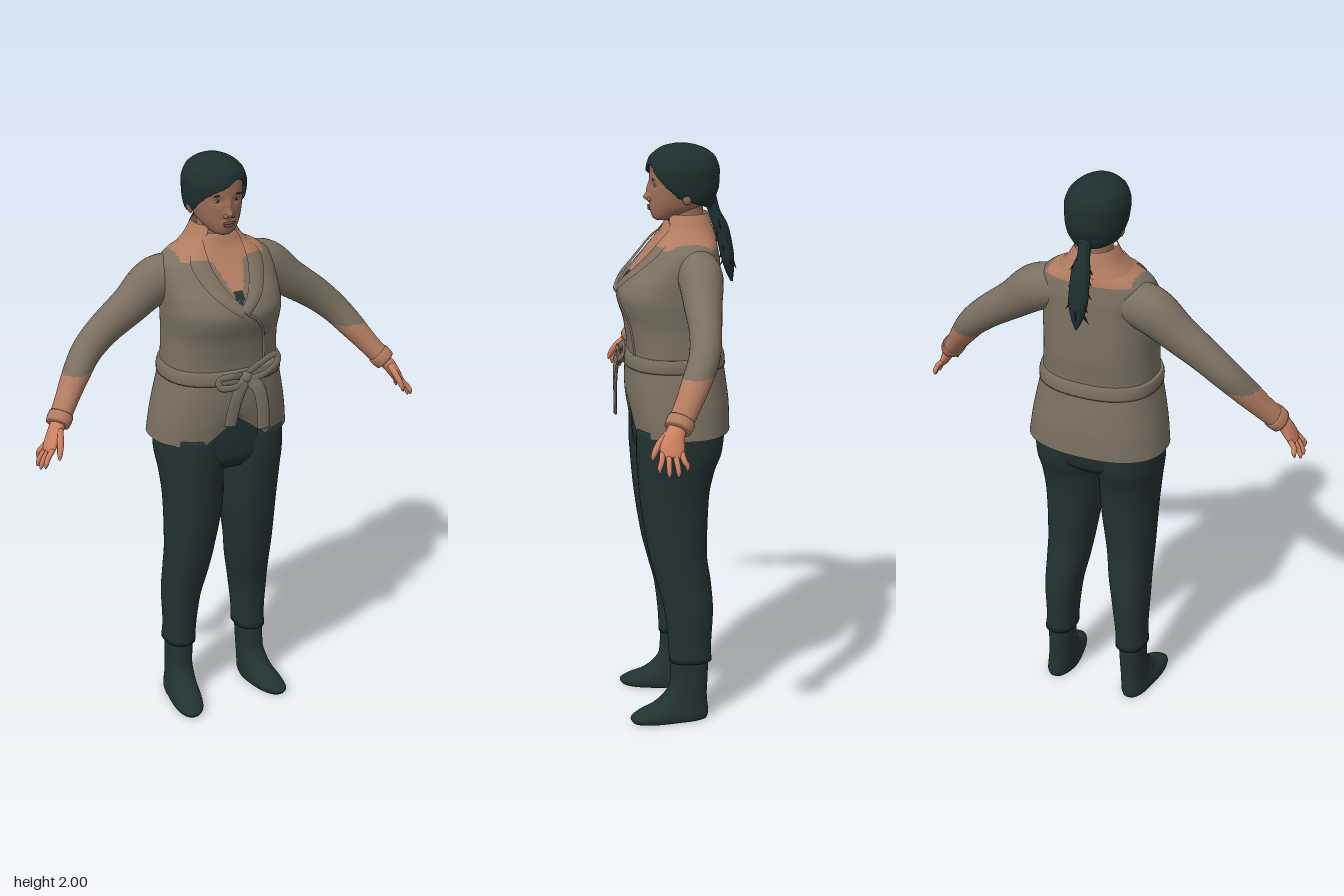
import * as THREE from 'three';

const V3 = (x, y, z) => new THREE.Vector3(x, y, z);
const gauss = (d, w) => Math.exp(-(d * d) / (w * w));

// Smooth, overshoot-free interpolation of rows keyed on their first value
function sample(rows, y) {
  const n = rows.length;
  let k = 0;
  while (k < n - 2 && y > rows[k + 1][0]) k++;
  const a = rows[k], b = rows[k + 1], h = b[0] - a[0];
  const t = Math.min(1, Math.max(0, (y - a[0]) / h));
  const slope = (i, c) => (rows[i + 1][c] - rows[i][c]) / (rows[i + 1][0] - rows[i][0]);
  const tangent = (i, c) => {
    if (i === 0) return slope(0, c);
    if (i === n - 1) return slope(n - 2, c);
    const s = slope(i - 1, c), e = slope(i, c);
    return s * e <= 0 ? 0 : (2 * s * e) / (s + e);
  };
  return a.map((v, c) => c === 0 ? y : v * (2 * t ** 3 - 3 * t * t + 1) + b[c] * (3 * t * t - 2 * t ** 3)
    + h * (tangent(k, c) * (t ** 3 - 2 * t * t + t) + tangent(k + 1, c) * (t ** 3 - t * t)));
}

// Closed skin over a stack of rings
function skin(rings, capped = true) {
  const n = rings[0].length, m = rings.length, idx = [];
  const pts = rings.flat();
  for (let j = 0; j < m - 1; j++) for (let i = 0; i < n; i++) {
    const k = (i + 1) % n, a = j * n + i, b = j * n + k;
    idx.push(a, a + n, b, b, a + n, b + n);
  }
  if (capped) [0, m - 1].forEach((j) => {
    const c = rings[j].reduce((s, p) => s.add(p), V3(0, 0, 0)).divideScalar(n);
    const ci = pts.push(c) - 1;
    for (let i = 0; i < n; i++) {
      const a = j * n + i, b = j * n + (i + 1) % n;
      j ? idx.push(ci, b, a) : idx.push(ci, a, b);
    }
  });
  const geo = new THREE.BufferGeometry().setFromPoints(pts);
  geo.setIndex(idx);
  geo.computeVertexNormals();
  return geo;
}

// Upright loft; each row is [y, centre x, half width, front z, back z]
function loft(rows, { steps = 40, segs = 48, power = 2.3, mod, capped = true, side = 1 } = {}) {
  const rings = [], y0 = rows[0][0], y1 = rows[rows.length - 1][0];
  const bend = (v) => Math.sign(v) * Math.abs(v) ** (2 / power);
  for (let j = 0; j <= steps; j++) {
    const [y, cx, rx, zf, zb] = sample(rows, y0 + (y1 - y0) * j / steps), ring = [];
    for (let i = 0; i < segs; i++) {
      const a = i / segs * Math.PI * 2;
      const p = V3(side * cx + rx * bend(Math.cos(a)), y, (zf + zb) / 2 + (zf - zb) / 2 * bend(Math.sin(a)));
      if (mod) mod(p);
      ring.push(p);
    }
    rings.push(ring);
  }
  return skin(rings, capped);
}

// Front surface depth of a loft at (x, y)
function frontZ(rows, x, y, power) {
  const [, cx, rx, zf, zb] = sample(rows, y);
  const q = Math.min(1, Math.abs((x - cx) / rx));
  return (zf + zb) / 2 + (zf - zb) / 2 * (1 - q ** power) ** (1 / power);
}

// Limb along points [x, y, z, radius across, radius deep]
function limb(points, side = 1, steps = 24, segs = 20) {
  const curve = new THREE.CatmullRomCurve3(points.map((p) => V3(p[0] * side, p[1], p[2])));
  const radii = points.map((p, i) => [i / (points.length - 1), p[3], p[4]]), rings = [];
  for (let j = 0; j <= steps; j++) {
    const t = j / steps, c = curve.getPoint(t), T = curve.getTangent(t);
    const U = T.clone().cross(V3(0, 0, 1)).normalize(), V = U.clone().cross(T);
    const [, r, d] = sample(radii, t);
    rings.push(Array.from({ length: segs }, (_, i) => {
      const a = i / segs * Math.PI * 2;
      return c.clone().addScaledVector(U, r * Math.cos(a)).addScaledVector(V, d * Math.sin(a));
    }));
  }
  return skin(rings);
}

// Sort faces into groups by a colour rule; null removes the face
function paint(geo, mats, rule) {
  const src = geo.index.array, pos = geo.attributes.position, bins = mats.map(() => []), c = V3(0, 0, 0);
  for (let i = 0; i < src.length; i += 3) {
    c.set(0, 0, 0);
    for (let k = 0; k < 3; k++) c.add(V3().fromBufferAttribute(pos, src[i + k]));
    const m = rule(c.divideScalar(3));
    if (m !== null) bins[m].push(src[i], src[i + 1], src[i + 2]);
  }
  geo.setIndex(bins.flat());
  let start = 0;
  bins.forEach((b, m) => { geo.addGroup(start, b.length, m); start += b.length; });
  return geo;
}

export function createModel() {
  const model = new THREE.Group();
  const material = (name, color, side = THREE.FrontSide) => Object.assign(new THREE.MeshStandardMaterial({ color, side }), { name });
  const jacket = material('jacket', 0x7b7061, THREE.DoubleSide);
  const dark = material('darkCloth', 0x223232);
  const hairMat = material('hair', 0x1e2f30, THREE.DoubleSide);
  const face = material('faceSkin', 0x9c6e57);
  const warm = material('warmSkin', 0xb17c60, THREE.DoubleSide);
  const handMat = material('handSkin', 0xcf8161);
  const lipMat = material('lips', 0x84503f);
  const eyeMat = material('eyes', 0x9fb0ae);
  const add = (name, geo, mat) => {
    const mesh = new THREE.Mesh(geo, mat);
    mesh.name = name;
    model.add(mesh);
    return mesh;
  };
  const blob = (name, mat, x, y, z, sx, sy, sz, tilt = 0) => {
    const m = add(name, new THREE.SphereGeometry(1, 20, 14), mat);
    m.position.set(x, y, z);
    m.scale.set(sx, sy, sz);
    m.rotation.z = tilt;
  };

  // Jacket body with open neckline
  const torso = [[1.24, 0, .2, .16, -.165], [1.3, 0, .198, .157, -.157], [1.4, 0, .194, .168, -.163], [1.5, 0, .2, .193, -.16],
    [1.55, 0, .2, .172, -.157], [1.6, 0, .2, .128, -.154], [1.65, 0, .192, .085, -.146], [1.68, 0, .16, .062, -.14],
    [1.7, 0, .115, .048, -.132], [1.74, 0, .075, .03, -.118]];
  add('jacketBody', paint(loft(torso, { steps: 100, segs: 128, power: 2.4 }), [jacket, warm, dark], (c) => {
    if (c.z > 0 && Math.abs(c.x) < (c.y - 1.53) * .42) return c.y < 1.58 ? 2 : 1;
    return c.y > 1.665 && Math.abs(c.x) < .15 ? 1 : 0;
  }), [jacket, warm, dark]);

  // Jacket skirt, parted at the front hem
  const skirt = [[1.04, 0, .246, .152, -.187], [1.12, 0, .235, .162, -.185], [1.2, 0, .22, .166, -.176], [1.28, 0, .203, .163, -.164]];
  add('jacketSkirt', loft(skirt, { capped: false, segs: 96, power: 2.4, mod: (p) => {
    if (p.z > 0) p.y += .09 * Math.max(0, 1.17 - p.y) / .13 * Math.max(0, 1 - Math.abs(p.x) / .12);
  } }), jacket);

  // Shawl lapels laid on the chest
  const spline = (pts) => new THREE.SplineCurve(pts.map((p) => new THREE.Vector2(...p)));
  [-1, 1].forEach((s) => {
    const inner = spline([[.066, 1.735], [.068, 1.66], [.042, 1.59], [-.004, 1.535]]);
    const outer = spline([[.088, 1.725], [.13, 1.66], [.092, 1.575], [.012, 1.505]]);
    const geo = new THREE.PlaneGeometry(1, 1, 40, 8), pos = geo.attributes.position;
    for (let i = 0; i < pos.count; i++) {
      const u = pos.getX(i) + .5, v = pos.getY(i) + .5;
      const p = inner.getPoint(u).lerp(outer.getPoint(u), v);
      pos.setXYZ(i, s * p.x, p.y, frontZ(torso, p.x, p.y, 2.4) + .006 + .006 * Math.sin(v * Math.PI) + (s < 0 ? .003 : 0));
    }
    geo.computeVertexNormals();
    add('lapel', paint(geo, [jacket, warm], (c) => c.y > 1.675 ? 1 : 0), [jacket, warm]);
  });
  const seam = spline([[.01, 1.515], [.055, 1.48], [.088, 1.42], [.1, 1.3]]).getPoints(16)
    .map((p) => V3(p.x, p.y, frontZ(torso, p.x, p.y, 2.4)));
  add('wrapEdge', new THREE.TubeGeometry(new THREE.CatmullRomCurve3(seam), 32, .005, 6), jacket);

  // Standing collar behind the neck
  const collar = [[1.69, 0, .128, .055, -.142], [1.725, 0, .094, .04, -.13], [1.77, 0, .068, .025, -.115]];
  add('collar', paint(loft(collar, { steps: 12, segs: 64, capped: false }), [warm], (c) => c.z < .1 - (c.y - 1.69) && c.z < .02 ? 0 : null), [warm]);

  // Belt, bow and hanging tails
  add('belt', loft([[1.262, 0, .21, .172, -.172], [1.285, 0, .211, .172, -.171], [1.308, 0, .206, .167, -.166]], { steps: 6, segs: 64, power: 2.4 }), jacket);
  blob('knot', jacket, .015, 1.285, .18, .024, .022, .016);
  [[[.01, 1.29, .178], [.06, 1.33, .19], [.125, 1.35, .183], [.13, 1.325, .185], [.07, 1.29, .195], [.01, 1.28, .185]],
    [[.01, 1.29, .178], [-.04, 1.3, .188], [-.085, 1.29, .18], [-.08, 1.265, .185], [-.03, 1.265, .197], [.01, 1.28, .185]],
    [[.015, 1.285, .185], [-.02, 1.24, .198], [-.04, 1.18, .198], [-.05, 1.125, .195]],
    [[.015, 1.285, .185], [.05, 1.25, .2], [.065, 1.18, .207], [.068, 1.1, .208]]].forEach((path, i) =>
    add(i < 2 ? 'bowLoop' : 'bowTail', limb(path.map((p) => [...p, i < 2 ? .012 : .023, .005]), 1, 30, 10), jacket));

  // Hips
  add('hips', loft([[.93, 0, .13, .11, -.1], [.98, 0, .2, .138, -.15], [1.05, 0, .222, .143, -.163], [1.2, 0, .19, .145, -.14]]), dark);

  const legRows = [[.215, .14, .055, .034, -.115], [.25, .138, .053, .035, -.113], [.4, .132, .063, .05, -.12], [.5, .122, .072, .075, -.113],
    [.6, .115, .08, .1, -.1], [.8, .105, .098, .13, -.107], [.9, .109, .104, .138, -.125], [.97, .112, .11, .142, -.15], [1.06, .113, .11, .14, -.16]];
  const bootRows = [[0, .15, .05, .165, -.098], [.015, .15, .054, .175, -.102], [.035, .149, .052, .15, -.102], [.055, .147, .048, .1, -.1],
    [.09, .145, .045, .055, -.098], [.13, .143, .043, .032, -.1], [.26, .14, .046, .026, -.105]];
  const armRows = [[.11, 1.6, -.055, .07, .075], [.2, 1.583, -.062, .08, .074], [.3, 1.512, -.056, .066, .062], [.4, 1.442, -.049, .057, .052],
    [.465, 1.385, -.035, .051, .05], [.52, 1.32, -.002, .045, .047], [.57, 1.255, .035, .037, .042], [.612, 1.203, .068, .034, .04]];

  [-1, 1].forEach((s) => {
    // Trouser legs and boots
    add('trouserLeg', loft(legRows, { side: s }), dark);
    add('boot', loft(bootRows, { side: s, mod: (p) => { p.x += s * .13 * Math.max(0, p.z) * Math.max(0, 1 - p.y / .2); } }), dark);

    // Sleeves with paler forearms
    add('sleeve', paint(limb(armRows, s, 70, 32), [jacket, warm], (c) => c.y < 1.335 && Math.abs(c.x) > .45 ? 1 : 0), [jacket, warm]);
    add('cuff', limb([[.596, 1.222, .056, .039, .045], [.606, 1.21, .064, .04, .046], [.618, 1.196, .073, .037, .043]], s, 6), warm);

    // Hands
    add('palm', limb([[.605, 1.21, .066, .024, .028], [.628, 1.182, .082, .022, .032], [.65, 1.145, .093, .017, .039], [.664, 1.118, .097, .012, .035]], s, 14), handMat);
    [[.066, .05, 1.082, .682], [.086, .079, 1.066, .694], [.106, .108, 1.066, .694], [.124, .137, 1.08, .688]].forEach(([z0, z1, y1, x1]) =>
      add('finger', limb([[.655, 1.135, z0, .009, .01], [.676, 1.11, (z0 + z1) / 2, .009, .009], [x1 - .003, y1 + .015, z1, .008, .008], [x1, y1, z1, .003, .003]], s, 12, 10), handMat));
    add('thumb', limb([[.622, 1.188, .1, .013, .014], [.632, 1.155, .133, .011, .012], [.642, 1.125, .15, .009, .009], [.646, 1.108, .156, .003, .003]], s, 12, 10), handMat);
  });

  // Neck and head
  add('neck', limb([[0, 1.66, -.055, .062, .062], [0, 1.74, -.043, .054, .06], [0, 1.83, -.035, .055, .062]]), face);
  const head = [[1.747, 0, .022, .06, .005], [1.755, 0, .038, .07, -.02], [1.775, 0, .056, .076, -.06], [1.8, 0, .071, .078, -.1], [1.84, 0, .081, .079, -.12],
    [1.88, 0, .085, .08, -.13], [1.92, 0, .085, .078, -.13], [1.96, 0, .07, .055, -.115], [1.985, 0, .035, .01, -.07]];
  const features = (x, y) => .02 * gauss(x, .012) * gauss(y - 1.823, .013) + .011 * gauss(x, .009) * gauss(y - 1.85, .022)
    + .006 * gauss(x, .022) * gauss(y - 1.789, .011) - .007 * gauss(Math.abs(x) - .034, .017) * gauss(y - 1.866, .012);
  add('head', loft(head, { steps: 80, segs: 112, power: 2.2, mod: (p) => { if (p.z > 0) p.z += features(p.x, p.y); } }), face);
  const faceZ = (x, y) => frontZ(head, x, y, 2.2) + features(x, y);
  [-1, 1].forEach((s) => {
    blob('eye', eyeMat, s * .034, 1.866, faceZ(.034, 1.866), .013, .005, .003);
    blob('iris', dark, s * .034, 1.866, faceZ(.034, 1.866) + .002, .005, .005, .002);
    blob('eyebrow', hairMat, s * .035, 1.886, faceZ(.035, 1.886), .018, .0025, .003, -s * .1);
    blob('ear', face, s * .084, 1.835, -.035, .011, .029, .018);
    blob('nostrilWing', face, s * .012, 1.817, faceZ(.012, 1.817) - .002, .008, .007, .008);
  });
  blob('upperLip', lipMat, 0, 1.793, faceZ(0, 1.793), .023, .0045, .004);
  blob('lowerLip', lipMat, 0, 1.784, faceZ(0, 1.784), .019, .005, .004);

  // Swept hair cap trimmed along the hairline
  const hair = [[1.785, 0, .065, 0, -.125], [1.82, 0, .09, .04, -.14], [1.86, 0, .1, .08, -.153], [1.91, 0, .103, .092, -.155],
    [1.95, 0, .092, .083, -.143], [1.975, 0, .07, .06, -.118], [1.992, 0, .04, .03, -.08], [2, 0, .012, -.005, -.045]];
  add('hairCap', paint(loft(hair, { steps: 90, segs: 112, power: 2.1 }), [hairMat], (c) => {
    const line = 1.83 + (c.z < 0 ? .35 : .85) * c.z + (c.z > 0 ? .035 * gauss(c.x - .035, .035) : 0);
    return c.y > line ? 0 : null;
  }), [hairMat]);

  // Ponytail with jagged tufts
  add('ponytail', limb([[0, 1.82, -.125, .025, .02], [0, 1.77, -.138, .021, .02], [0, 1.71, -.163, .033, .025], [0, 1.63, -.182, .034, .023],
    [0, 1.57, -.192, .022, .015], [0, 1.53, -.2, .004, .004]]), hairMat);
  for (let i = 0; i < 18; i++) {
    const t = (i + .5) / 18, a = i * 2.4, dir = V3(Math.cos(a) * .75, -1, Math.sin(a) * .5).normalize();
    const tuft = add('hairTuft', new THREE.ConeGeometry(.011, .055, 5), hairMat);
    tuft.position.set(Math.cos(a) * .027, 1.74 - .17 * t, -.153 - .042 * t + Math.sin(a) * .016);
    tuft.quaternion.setFromUnitVectors(V3(0, 1, 0), dir);
  }
  return model;
}
